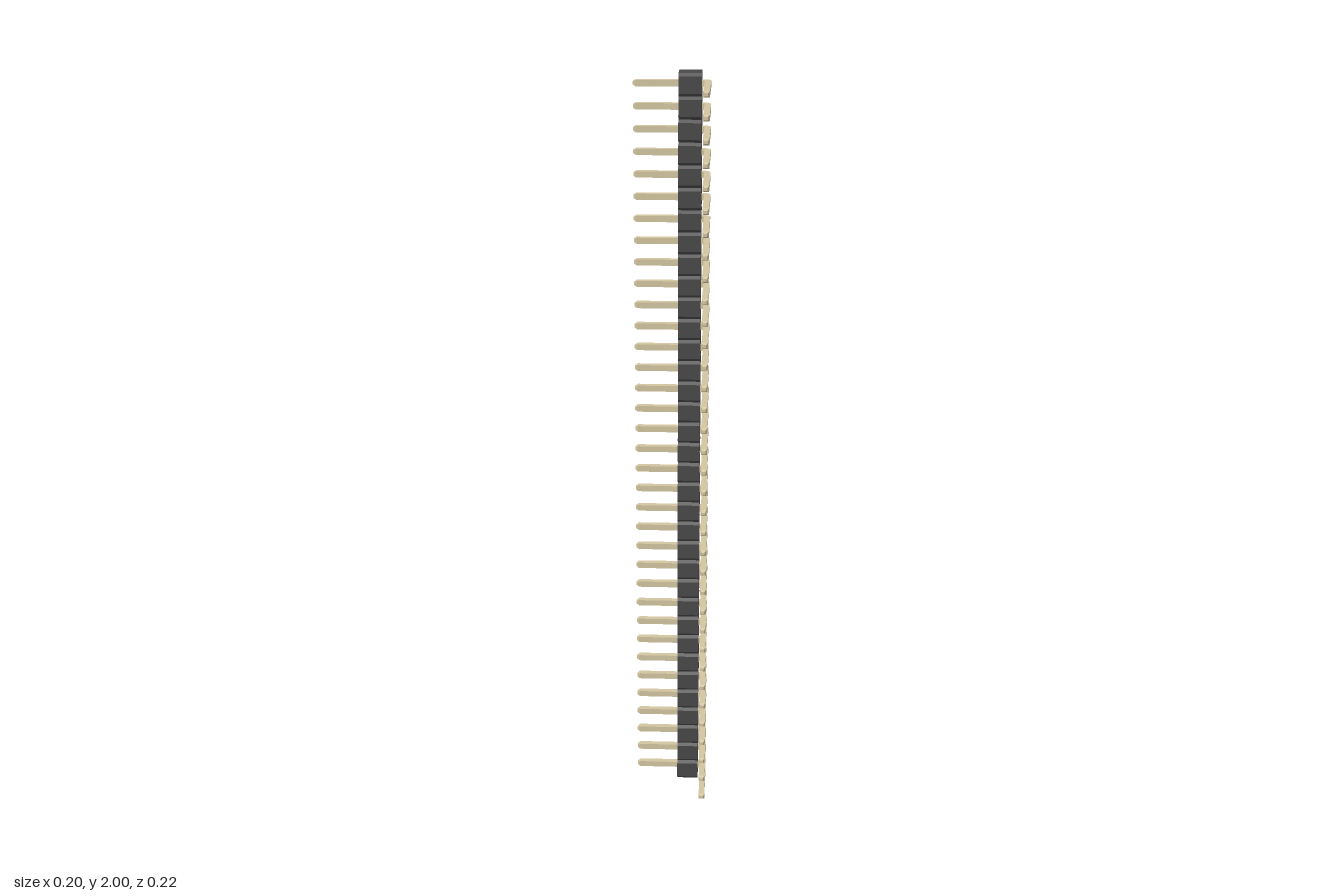
import * as THREE from 'three';
import { toCreasedNormals } from 'three/addons/utils/BufferGeometryUtils.js';

const COUNT = 35, PITCH = 2 / COUNT;
const PIN_Z = -0.073, HALF = 0.008;

// Notched housing outline in (z, y), extruded along x
function housingGeometry() {
  const w = 0.037, cz = 0.0065, cy = 0.0075;
  const right = [];
  for (let i = 0; i < COUNT; i++) {
    const y0 = i * PITCH, y1 = y0 + PITCH;
    if (i === 0) right.push([w - cz, y0]);
    right.push([w, y0 + cy], [w, y1 - cy], [w - cz, y1]);
  }
  const left = right.map(([z, y]) => [-z, y]).reverse();
  const shape = new THREE.Shape([...right, ...left].map(([z, y]) => new THREE.Vector2(z, y)));
  const geo = new THREE.ExtrudeGeometry(shape, { depth: 0.058, bevelEnabled: false });
  return geo.rotateY(-Math.PI / 2).translate(0.074, 0, PIN_Z);
}

// Square wire bent through a right angle, with tapered tips
function pinGeometry() {
  const r = 0.010, legX = 0.089, tip = 0.007, startX = -0.099, endZ = 0.107;
  // stations: x, z, heading angle (0 = +x, PI/2 = +z), half width
  const stations = [[startX, PIN_Z, 0, HALF * 0.5], [startX + tip, PIN_Z, 0, HALF]];
  for (let i = 0; i <= 8; i++) {
    const a = (i / 8) * Math.PI / 2;
    stations.push([legX - r + r * Math.sin(a), PIN_Z + r - r * Math.cos(a), a, HALF]);
  }
  stations.push([legX, endZ - tip, Math.PI / 2, HALF], [legX, endZ, Math.PI / 2, HALF * 0.5]);

  const pos = [], index = [];
  for (const [x, z, a, h] of stations) {
    for (const [u, v] of [[1, 1], [-1, 1], [-1, -1], [1, -1]]) {
      pos.push(x + Math.sin(a) * u * h, v * h, z - Math.cos(a) * u * h);
    }
  }
  const quad = (a, b, c, d) => index.push(a, b, c, a, c, d);
  for (let s = 0; s < stations.length - 1; s++) {
    for (let j = 0; j < 4; j++) {
      const k = (j + 1) % 4;
      quad(s * 4 + j, s * 4 + k, s * 4 + 4 + k, s * 4 + 4 + j);
    }
  }
  const e = (stations.length - 1) * 4;
  quad(3, 2, 1, 0);
  quad(e, e + 1, e + 2, e + 3);
  const geo = new THREE.BufferGeometry();
  geo.setAttribute('position', new THREE.Float32BufferAttribute(pos, 3));
  geo.setIndex(index);
  return toCreasedNormals(geo, Math.PI / 9);
}

export function createModel() {
  const group = new THREE.Group();
  group.name = 'rightAnglePinHeader';

  const housing = new THREE.Mesh(housingGeometry(), new THREE.MeshStandardMaterial({ color: 0x484848 }));
  housing.name = 'housing';
  group.add(housing);

  // One bent pin per housing segment
  const pins = new THREE.Group();
  pins.name = 'pins';
  const geo = pinGeometry();
  const metal = new THREE.MeshStandardMaterial({ color: 0xd2c4a0 });
  for (let i = 0; i < COUNT; i++) {
    const pin = new THREE.Mesh(geo, metal);
    pin.name = `pin${i + 1}`;
    pin.position.y = (i + 0.5) * PITCH;
    pins.add(pin);
  }
  group.add(pins);
  return group;
}
